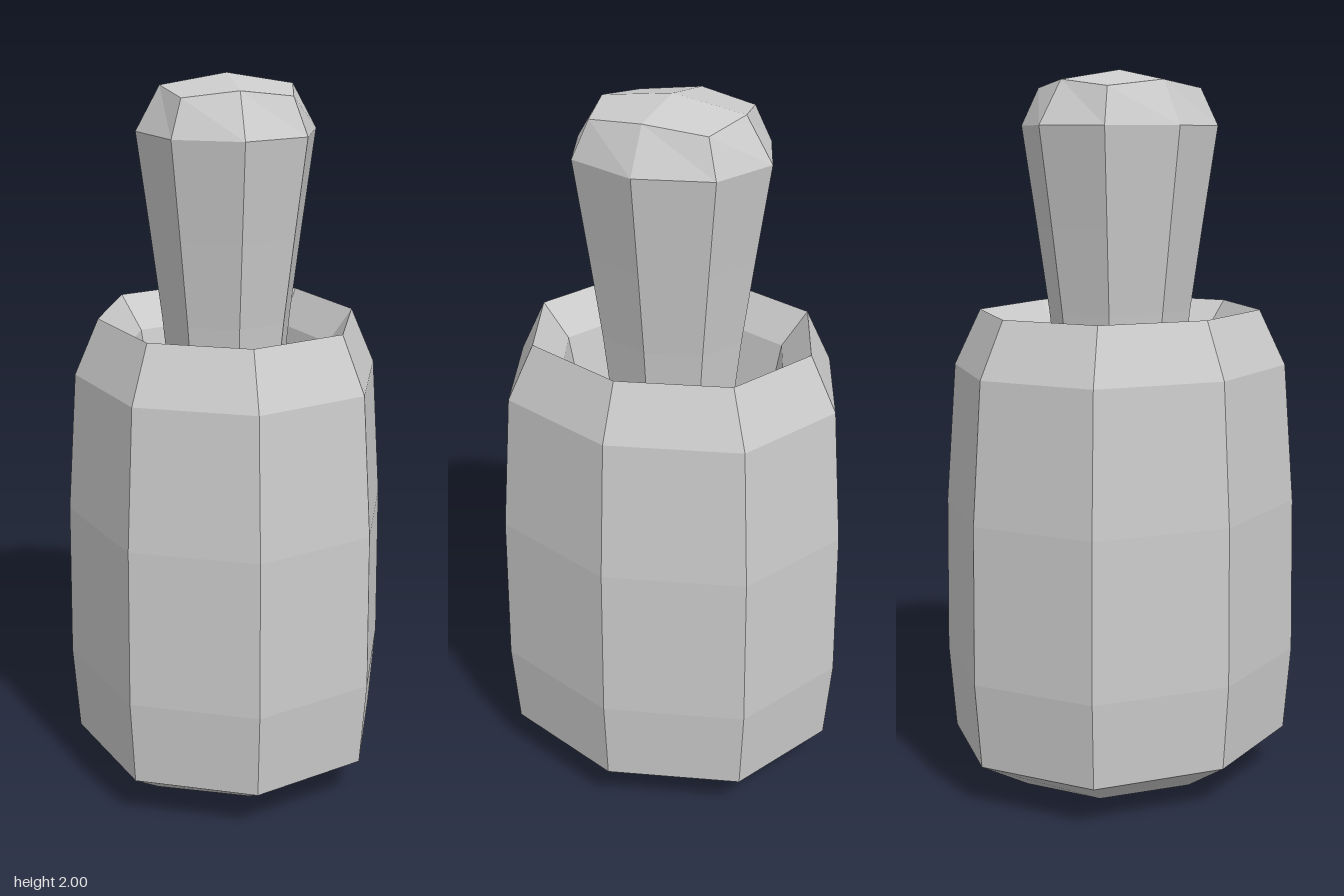
import * as THREE from 'three';

const Z_STRETCH = 1.132; // the cross-section is a little deeper than wide

// Faceted eight-sided turning. Each profile row is [radius, y, diagonal swell, diagonal lift].
function octTurning(name, rows, material) {
  const geometry = new THREE.LatheGeometry(rows.map(([r, y]) => new THREE.Vector2(r, y)), 8);
  const p = geometry.attributes.position;
  for (let i = 0; i < p.count; i++) {
    const [, , swell = 1.026, lift = 0] = rows[i % rows.length];
    const diagonal = Math.floor(i / rows.length) % 2 === 1;
    const k = diagonal ? swell : 1;
    p.setXYZ(i, p.getX(i) * k, p.getY(i) + (diagonal ? lift : 0), p.getZ(i) * k * Z_STRETCH);
  }
  geometry.computeVertexNormals();
  const mesh = new THREE.Mesh(geometry, material);
  mesh.name = name;
  return mesh;
}

export function createModel() {
  const grey = new THREE.MeshStandardMaterial({ color: 0xcccccc, flatShading: true });
  grey.name = 'plain grey';

  // Barrel body: shallow pointed underside, bulging wall, rim and hollow mouth
  const body = octTurning('body', [
    [0, 0, 1, 0],
    [0.3, 0.03, 1.155, 0.019],
    [0.437, 0.12],
    [0.455, 0.36],
    [0.45, 0.8],
    [0.424, 1.19],
    [0.357, 1.345],
    [0.29, 1.25],
    [0.245, 1.0],
    [0, 1.0, 1, 0],
  ], grey);

  // Flared stopper: tapered stem, chamfered head and low peaked cap
  const stopper = octTurning('stopper', [
    [0.145, 1.0],
    [0.18, 1.345],
    [0.21, 1.58],
    [0.246, 1.85],
    [0.18, 1.97, 1.155, -0.019],
    [0, 2, 1, 0],
  ], grey);

  const group = new THREE.Group();
  group.name = 'stopperedJar';
  group.add(body, stopper);
  return group;
}
